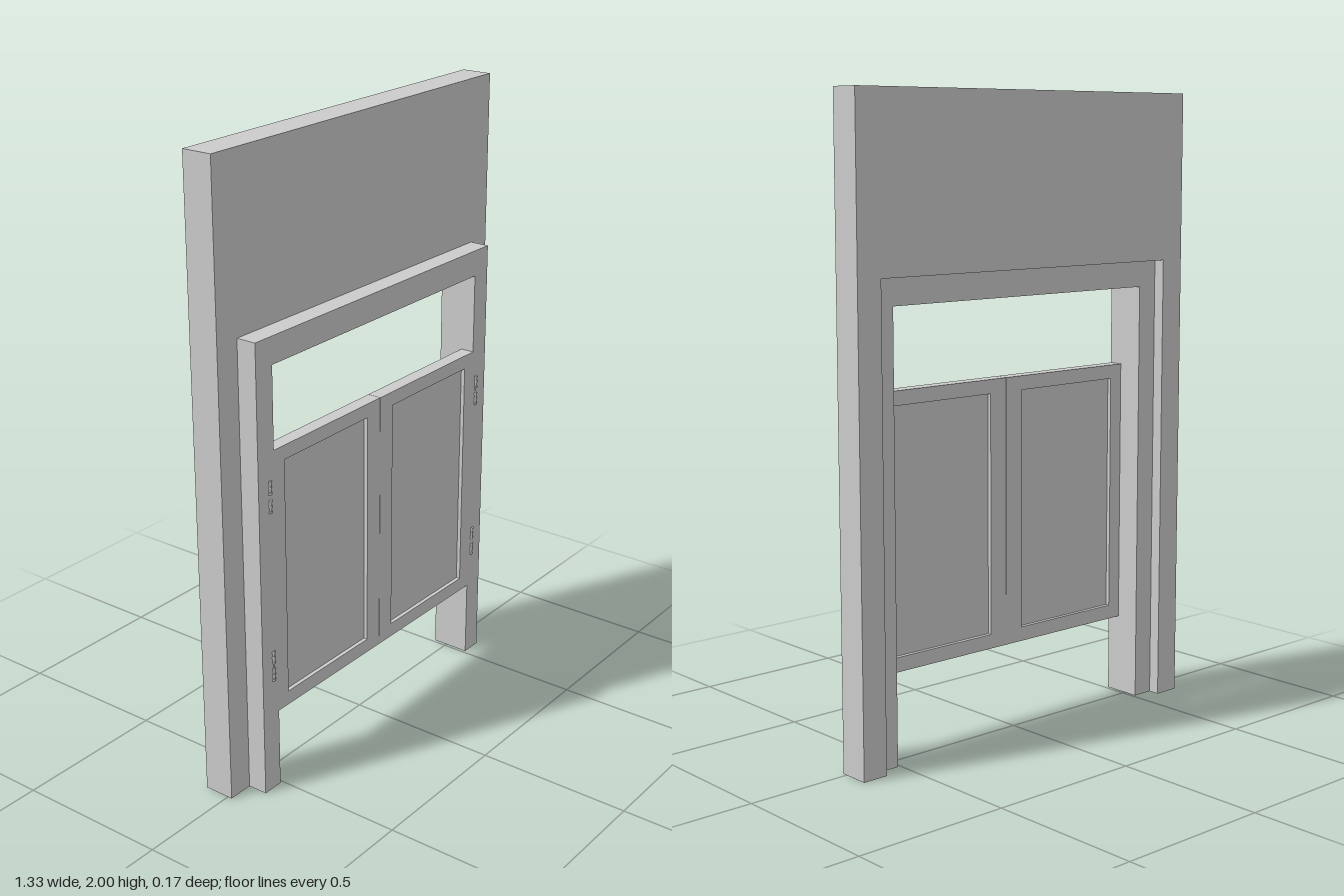
import * as THREE from 'three';

const material = new THREE.MeshStandardMaterial({ color: 0xcccccc });

function addMesh(parent, name, geometry, x = 0, y = 0, z = 0) {
  const mesh = new THREE.Mesh(geometry, material);
  mesh.name = name;
  mesh.position.set(x, y, z);
  parent.add(mesh);
  return mesh;
}

// Upside-down U that stands on the floor, extruded from zBack to zFront
function archGeometry(outerHalf, outerTop, innerHalf, innerTop, zBack, zFront) {
  const shape = new THREE.Shape([
    [-outerHalf, 0], [-innerHalf, 0], [-innerHalf, innerTop], [innerHalf, innerTop],
    [innerHalf, 0], [outerHalf, 0], [outerHalf, outerTop], [-outerHalf, outerTop],
  ].map(([x, y]) => new THREE.Vector2(x, y)));
  return new THREE.ExtrudeGeometry(shape, { depth: zFront - zBack, bevelEnabled: false })
    .translate(0, 0, zBack);
}

function rectPoints(x0, y0, x1, y1) {
  return [[x0, y0], [x1, y0], [x1, y1], [x0, y1]].map(([x, y]) => new THREE.Vector2(x, y));
}

// Door leaf: rails and stiles around a panel sunk on both faces
function createDoor(side) {
  const door = new THREE.Group();
  door.name = side > 0 ? 'leftDoor' : 'rightDoor';
  const zBack = 0.034, zFront = 0.08, recess = 0.013;
  const [a, b] = [0.0005 * side, 0.51 * side].sort((p, q) => p - q);
  const [c, d] = [0.065 * side, 0.463 * side].sort((p, q) => p - q);
  const shape = new THREE.Shape(rectPoints(a, 0.26, b, 1.12));
  shape.holes.push(new THREE.Path(rectPoints(c, 0.306, d, 1.075)));
  const rails = new THREE.ExtrudeGeometry(shape, { depth: zFront - zBack, bevelEnabled: false });
  addMesh(door, 'doorRails', rails, 0, 0, zBack);
  const panel = new THREE.BoxGeometry(d - c, 0.769, zFront - zBack - 2 * recess);
  addMesh(door, 'doorPanel', panel, (c + d) / 2, 0.6905, (zBack + zFront) / 2);
  return door;
}

// Hinge: two barrels with thin collars and a slim pin between them
function createHinge(x, y) {
  const hinge = new THREE.Group();
  hinge.name = 'hinge';
  hinge.position.set(x, y, 0.079);
  addMesh(hinge, 'hingePin', new THREE.CylinderGeometry(0.002, 0.002, 0.09, 8));
  for (const s of [-1, 1]) {
    addMesh(hinge, 'hingeBarrel', new THREE.CylinderGeometry(0.0055, 0.0055, 0.043, 12), 0, s * 0.0295, 0);
    for (const e of [0.012, 0.03, 0.047]) {
      addMesh(hinge, 'hingeCollar', new THREE.CylinderGeometry(0.007, 0.007, 0.007, 12), 0, s * e, 0);
    }
  }
  return hinge;
}

export function createModel() {
  const group = new THREE.Group();
  group.name = 'swingDoors';
  // Wall with its opening, and the deeper frame set into it
  addMesh(group, 'wall', archGeometry(0.665, 2, 0.581, 1.465, -0.085, 0.015));
  addMesh(group, 'doorFrame', archGeometry(0.581, 1.465, 0.51, 1.38, -0.048, 0.08));
  for (const side of [-1, 1]) {
    group.add(createDoor(side));
    for (const y of [0.425, 0.98]) group.add(createHinge(side * 0.53, y));
  }
  return group;
}
